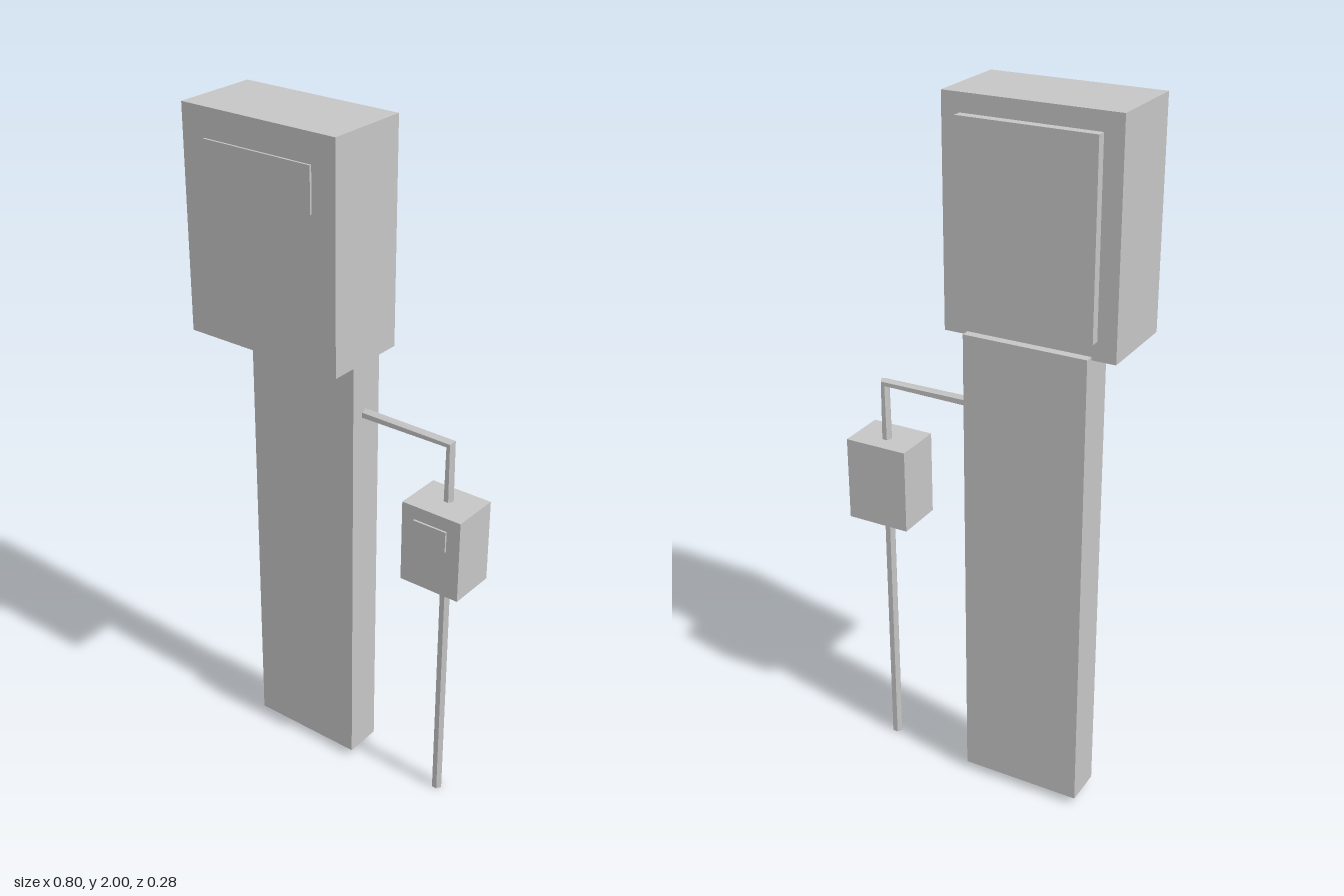
import * as THREE from 'three';

const bodyGrey = new THREE.MeshStandardMaterial({ color: 0xc6c6c6 });
bodyGrey.name = 'bodyGrey';

// Box given by its low and high limits on each axis
function addBox(group, name, [x0, x1], [y0, y1], [z0, z1]) {
  const mesh = new THREE.Mesh(new THREE.BoxGeometry(x1 - x0, y1 - y0, z1 - z0), bodyGrey);
  mesh.position.set((x0 + x1) / 2, (y0 + y1) / 2, (z0 + z1) / 2);
  mesh.name = name;
  group.add(mesh);
}

// Faceted pipe through rings [x, y, ux, uy]; u is the ring's in-plane axis, the other is z
function pipeGeometry(rings, z, radius, sides) {
  const points = [];
  const index = [];
  for (const [x, y, ux, uy] of rings) {
    for (let j = 0; j < sides; j++) {
      const a = (j / sides) * Math.PI * 2;
      const c = Math.cos(a) * radius;
      points.push(x + c * ux, y + c * uy, z + Math.sin(a) * radius);
    }
  }
  const last = (rings.length - 1) * sides;
  const startCentre = rings.length * sides;
  points.push(rings[0][0], rings[0][1], z);
  points.push(rings[rings.length - 1][0], rings[rings.length - 1][1], z);
  for (let j = 0; j < sides; j++) {
    const k = (j + 1) % sides;
    for (let i = 0; i < last; i += sides) {
      index.push(i + j, i + k, i + sides + k, i + j, i + sides + k, i + sides + j);
    }
    // End caps
    index.push(startCentre, k, j, startCentre + 1, last + j, last + k);
  }
  const indexed = new THREE.BufferGeometry();
  indexed.setAttribute('position', new THREE.Float32BufferAttribute(points, 3));
  indexed.setIndex(index);
  const geometry = indexed.toNonIndexed();
  geometry.computeVertexNormals();
  return geometry;
}

export function createModel() {
  const model = new THREE.Group();
  model.name = 'wallCabinets';

  // Main cabinet with its front label plate and rear mounting panel
  addBox(model, 'mainCabinet', [-0.398, 0.09], [1.378, 2], [-0.115, 0.135]);
  addBox(model, 'mainLabelPlate', [-0.325, 0.017], [1.797, 1.92], [0.133, 0.141]);
  addBox(model, 'rearPanel', [-0.345, 0.039], [1.43, 1.95], [-0.141, -0.114]);

  // Tall duct below the cabinet
  addBox(model, 'cableDuct', [-0.331, 0.022], [0.023, 1.387], [-0.14, -0.027]);

  // Small side box with its label plate
  addBox(model, 'sideBox', [0.211, 0.398], [0.755, 1], [-0.141, 0.003]);
  addBox(model, 'sideLabelPlate', [0.251, 0.356], [0.898, 0.96], [0.001, 0.009]);

  // Conduit from the duct, pinched at its corner, down through the side box
  const d = Math.SQRT1_2;
  const rings = [
    [0.01, 1.17, 0, 1],
    [0.304, 1.17, d, d],
    [0.304, 0.95, 1, 0],
    [0.304, 0, 1, 0],
  ];
  const conduit = new THREE.Mesh(pipeGeometry(rings, -0.08, 0.0155, 6), bodyGrey);
  conduit.name = 'conduit';
  model.add(conduit);

  return model;
}
